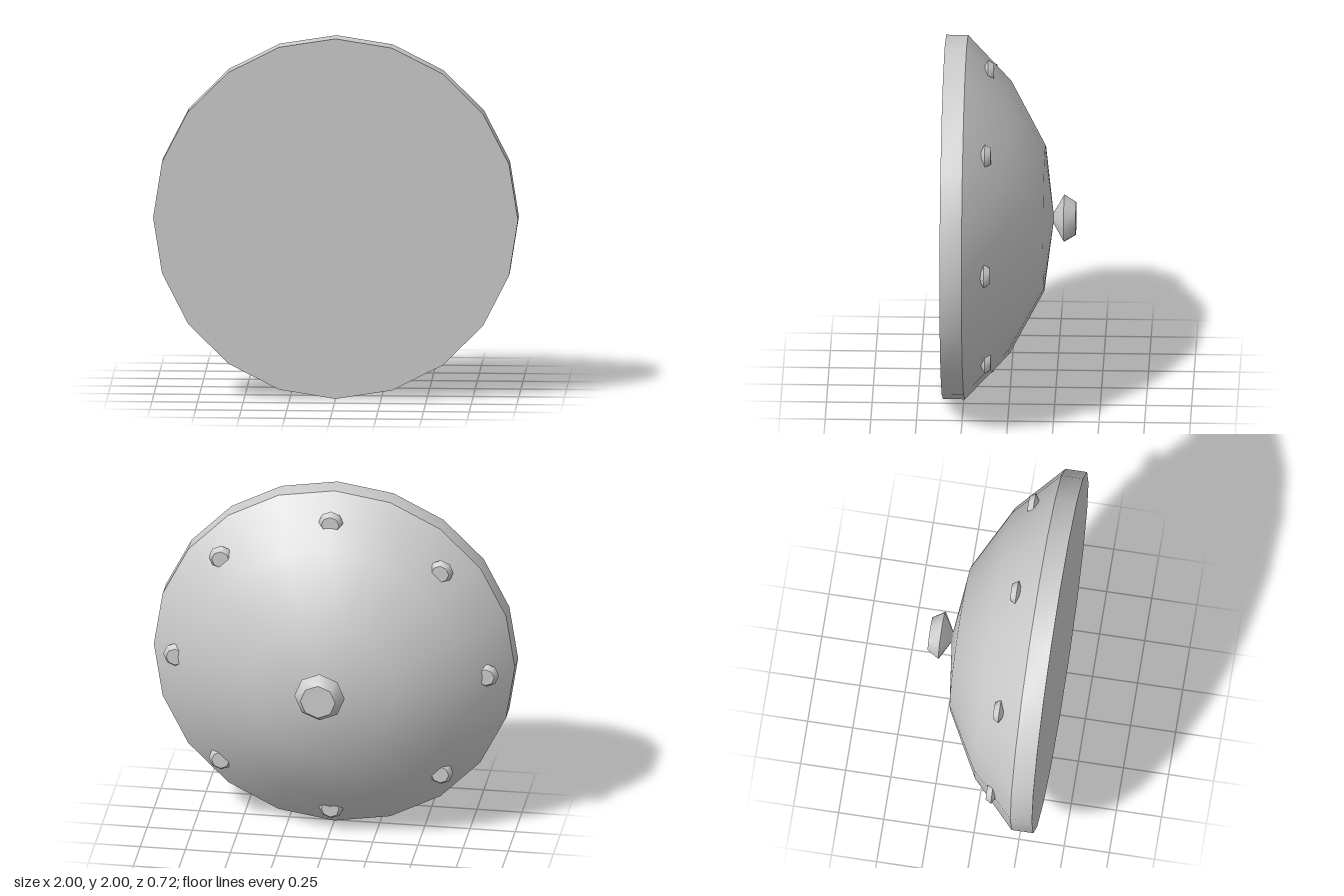
import * as THREE from 'three';
import { toCreasedNormals } from 'three/addons/utils/BufferGeometryUtils.js';

const steel = new THREE.MeshStandardMaterial({ color: 0xcccccc });
steel.name = 'steel';

// Turned part around the z axis; profile is [radius, z] running from front to back.
function turned(name, profile, sides, crease) {
  const points = profile.map(([r, z]) => new THREE.Vector2(r, -z));
  const geometry = new THREE.LatheGeometry(points, sides).rotateX(-Math.PI / 2);
  const mesh = new THREE.Mesh(toCreasedNormals(geometry, crease), steel);
  mesh.name = name;
  return mesh;
}

// Eight-sided stud: a cone widening from a point, then narrowing to a flat cap.
function stud(name, size) {
  return turned(name, [[0, 0.075], [0.139, 0], [0.097, -0.065], [0, -0.065]]
    .map(([r, z]) => [r * size, z * size]), 8, 0.9);
}

export function createModel() {
  const model = new THREE.Group();
  model.name = 'shield';
  const body = new THREE.Group();
  body.name = 'shieldBody';
  body.position.y = 1;
  model.add(body);

  // Flat face with its straight rim, and the smooth dome behind it
  body.add(turned('faceAndRim', [[0, 0.36], [1, 0.36], [1, 0.24]], 20, 0.6));
  body.add(turned('dome', [[1, 0.24], [0.75, 0], [0.4, -0.19], [0, -0.24]], 20, 0.6));

  // Large stud at the crown of the dome
  const boss = stud('centerBoss', 1);
  boss.position.z = -0.295;
  body.add(boss);

  // Ring of eight small studs, partly sunk into the dome
  const rivets = new THREE.Group();
  rivets.name = 'rivets';
  for (let i = 0; i < 8; i++) {
    const angle = (i * Math.PI) / 4;
    const rivet = stud('rivet', 0.5);
    rivet.position.set(0.86 * Math.cos(angle), 0.86 * Math.sin(angle), 0.122);
    rivets.add(rivet);
  }
  body.add(rivets);

  return model;
}
